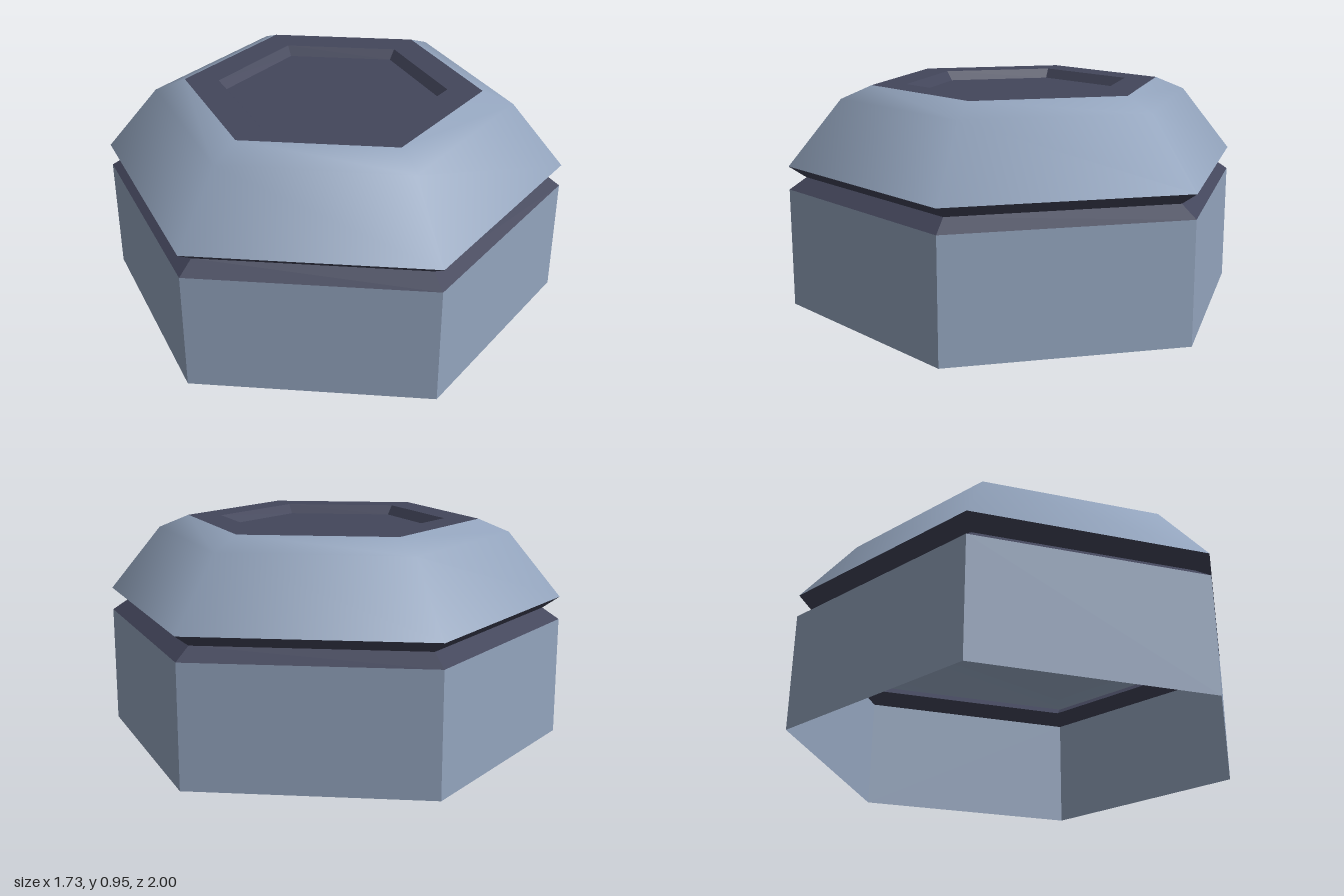
import * as THREE from 'three';

const SIDES = 6;

// Hexagonal shell from a [corner radius, height] profile
function hexShell(name, profile, material, flat) {
  const points = profile.map(([r, y]) => new THREE.Vector2(r, y));
  let geometry = new THREE.LatheGeometry(points, SIDES);
  if (flat) {
    geometry = geometry.toNonIndexed();
    geometry.computeVertexNormals();
  }
  const mesh = new THREE.Mesh(geometry, material);
  mesh.name = name;
  return mesh;
}

export function createModel() {
  const steel = new THREE.MeshStandardMaterial({ color: 0x93a4bd, side: THREE.DoubleSide });
  steel.name = 'blue grey steel';
  const dark = new THREE.MeshStandardMaterial({ color: 0x43465b, side: THREE.DoubleSide });
  dark.name = 'dark slate';

  const model = new THREE.Group();
  model.name = 'hexagonalCap';

  // Straight walls, open underneath
  model.add(hexShell('baseWalls', [[1, 0], [1, 0.513]], steel, true));
  // V-shaped groove between base and dome
  model.add(hexShell('groove', [[1, 0.513], [0.927, 0.563], [1, 0.613]], dark, true));
  // Softly shaded sloping dome
  model.add(hexShell('dome', [[1, 0.613], [0.77, 0.895], [0.638, 0.95]], steel, false));
  // Flat top rim with a shallow bevelled recess
  model.add(hexShell('topRim', [[0.638, 0.95], [0.49, 0.95]], dark, true));
  model.add(hexShell('recessBevel', [[0.49, 0.95], [0.457, 0.91]], dark, true));

  const floor = new THREE.Mesh(new THREE.CircleGeometry(0.457, SIDES, Math.PI / 2), dark);
  floor.name = 'recessFloor';
  floor.rotation.x = -Math.PI / 2;
  floor.position.y = 0.91;
  model.add(floor);

  return model;
}
